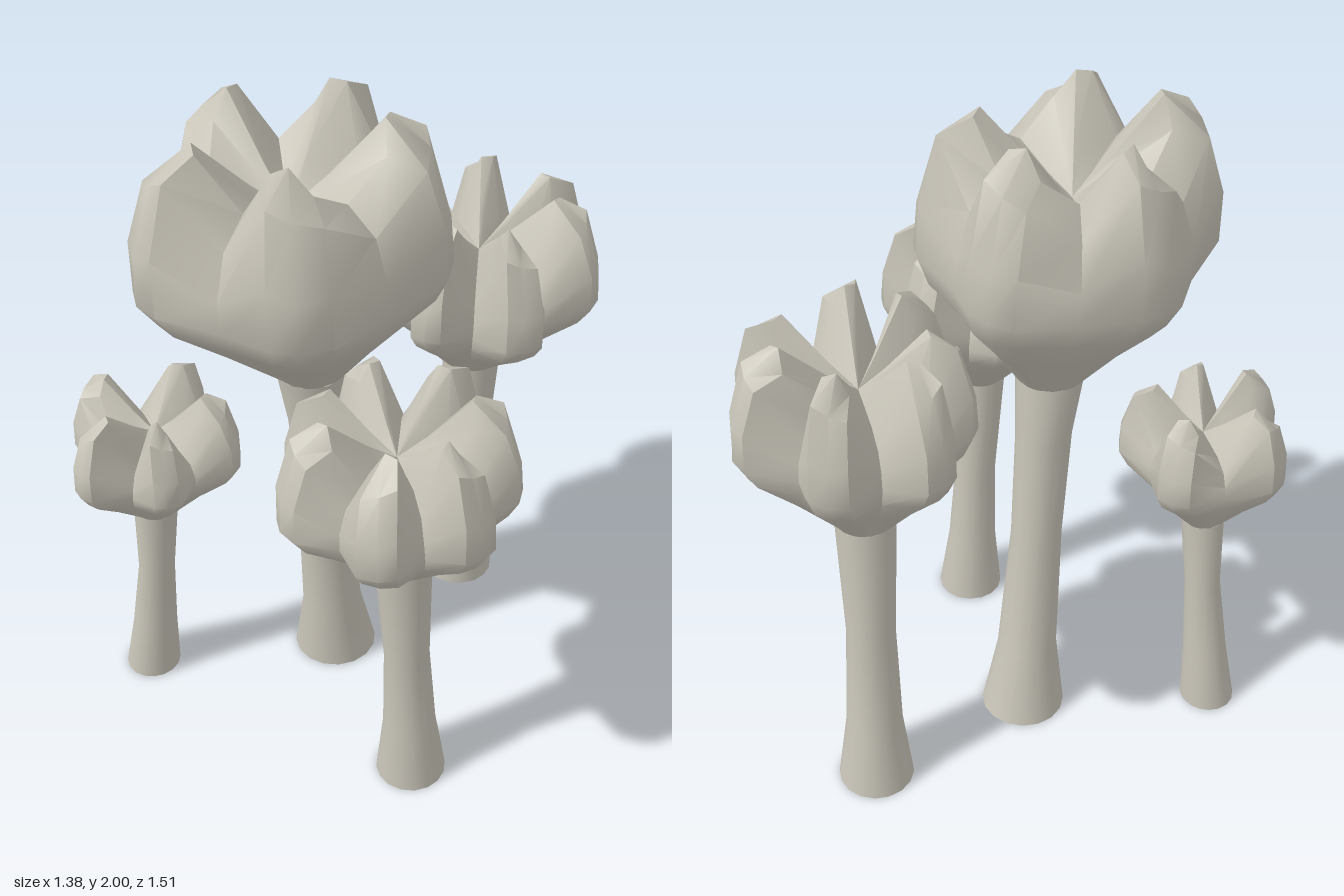
import * as THREE from 'three';
import { toCreasedNormals } from 'three/addons/utils/BufferGeometryUtils.js';

const stone = new THREE.MeshStandardMaterial({ color: 0xc8c4b8, side: THREE.DoubleSide });
stone.name = 'warm grey';

// Profiles [radius, height], both relative: up the outside, over the curled tip, down to the heart
const RIDGE = [[0, 0], [0.58, 0.2], [0.9, 0.37], [1, 0.47], [0.98, 0.64], [0.85, 0.89], [0.58, 1], [0.24, 0.8], [0, 0.68]];
const SIDE = [[0, 0], [0.57, 0.2], [0.88, 0.37], [0.97, 0.46], [0.96, 0.65], [0.84, 0.86], [0.6, 0.9], [0.24, 0.76], [0, 0.68]];
const PEAK = [[0, 0], [0.57, 0.2], [0.88, 0.37], [0.97, 0.47], [0.96, 0.68], [0.84, 0.93], [0.62, 0.99], [0.24, 0.78], [0, 0.68]];
const VALLEY = [[0, 0], [0.5, 0.2], [0.64, 0.33], [0.68, 0.42], [0.67, 0.5], [0.6, 0.58], [0.42, 0.63], [0.2, 0.66], [0, 0.68]];

const lerp = THREE.MathUtils.lerp;

// Leaning, flared stem with one ring for each key [y, x, z, radius]
function makeStem(keys) {
  const spans = keys.length - 1;
  const geo = new THREE.CylinderGeometry(1, 1, 1, 16, spans);
  const p = geo.attributes.position;
  for (let i = 0; i < p.count; i++) {
    const [y, x, z, r] = keys[Math.round((p.getY(i) + 0.5) * spans)];
    p.setXYZ(i, x + p.getX(i) * r, y, z + p.getZ(i) * r);
  }
  return new THREE.Mesh(toCreasedNormals(geo, 0.7), stone);
}

// Bud of folded petals; petals are [angle in degrees, reach], in order of angle
function makeBloom({ base, heart, petals, height, shallow, width }) {
  const columns = [];
  const n = petals.length;
  const valley = VALLEY.map(([r, h], j) => [lerp(r, RIDGE[j][0], shallow), lerp(h, RIDGE[j][1], shallow)]);
  petals.forEach(([angle, reach], i) => {
    const next = petals[(i + 1) % n], prev = petals[(i + n - 1) % n];
    const after = ((next[0] - angle + 360) % 360) / 2;
    const before = ((angle - prev[0] + 360) % 360) / 2;
    const flip = i % 2 === 0;
    columns.push([angle - before * width, reach, flip ? SIDE : PEAK]);
    columns.push([angle, reach, RIDGE]);
    columns.push([angle + after * width, reach, flip ? PEAK : SIDE]);
    columns.push([angle + after, (reach + next[1]) / 2, valley]);
  });

  const rows = RIDGE.length, position = [], index = [];
  columns.forEach(([deg, reach, profile]) => {
    const a = THREE.MathUtils.degToRad(deg);
    profile.forEach(([r, h], j) => {
      const radius = j === 0 ? base[3] : r * reach;
      const drift = Math.min(1, h * 2);
      position.push(
        lerp(base[1], heart[0], drift) + Math.cos(a) * radius,
        base[0] + h * height,
        lerp(base[2], heart[1], drift) + Math.sin(a) * radius);
    });
  });
  for (let i = 0; i < columns.length; i++) {
    const i2 = (i + 1) % columns.length;
    for (let j = 0; j < rows - 1; j++) {
      const a = i * rows + j, b = i2 * rows + j;
      index.push(a, a + 1, b);
      if (j < rows - 2) index.push(a + 1, b + 1, b);
    }
  }
  const geo = new THREE.BufferGeometry();
  geo.setAttribute('position', new THREE.Float32BufferAttribute(position, 3));
  geo.setIndex(index);
  return new THREE.Mesh(toCreasedNormals(geo.toNonIndexed(), 0.75), stone);
}

const PLANTS = [
  {
    name: 'tallPlant',
    stem: [[0, -0.16, 0.05, 0.13], [0.23, -0.145, 0.08, 0.092], [0.65, -0.13, 0.125, 0.077], [1.0, -0.12, 0.155, 0.083], [1.2, -0.115, 0.18, 0.1]],
    heart: [-0.12, 0.24], height: 0.8, shallow: 0.45, width: 0.3,
    petals: [[-104, 0.43], [-41, 0.43], [47, 0.42], [113, 0.44], [188, 0.4]],
  },
  {
    name: 'smallPlant',
    stem: [[0, -0.56, 0.495, 0.085], [0.2, -0.535, 0.49, 0.068], [0.45, -0.5, 0.49, 0.055], [0.7, -0.475, 0.49, 0.065]],
    heart: [-0.445, 0.49], height: 0.44, shallow: 0.05, width: 0.28,
    petals: [[-110, 0.25], [-28, 0.25], [38, 0.24], [97, 0.27], [164, 0.26]],
  },
  {
    name: 'rightPlant',
    stem: [[0, 0.365, 0.32, 0.105], [0.22, 0.365, 0.33, 0.078], [0.5, 0.36, 0.34, 0.066], [0.87, 0.36, 0.36, 0.08]],
    heart: [0.35, 0.38], height: 0.55, shallow: 0.2, width: 0.35,
    petals: [[-95, 0.33], [-40, 0.33], [12, 0.34], [60, 0.35], [113, 0.34], [160, 0.31], [208, 0.31]],
  },
  {
    name: 'backPlant',
    stem: [[0, -0.065, -0.495, 0.115], [0.22, -0.05, -0.48, 0.085], [0.55, -0.03, -0.46, 0.073], [0.95, 0, -0.435, 0.088]],
    heart: [0.03, -0.41], height: 0.6, shallow: 0.05, width: 0.33,
    petals: [[-70, 0.36], [-26, 0.36], [33, 0.37], [80, 0.34], [134, 0.32], [181, 0.35], [234, 0.35]],
  },
];

export function createModel() {
  const model = new THREE.Group();
  model.name = 'flowerCluster';
  for (const plant of PLANTS) {
    const group = new THREE.Group();
    group.name = plant.name;
    const stem = makeStem(plant.stem);
    stem.name = 'stem';
    const bloom = makeBloom({ ...plant, base: plant.stem[plant.stem.length - 1] });
    bloom.name = 'bloom';
    group.add(stem, bloom);
    model.add(group);
  }
  return model;
}
